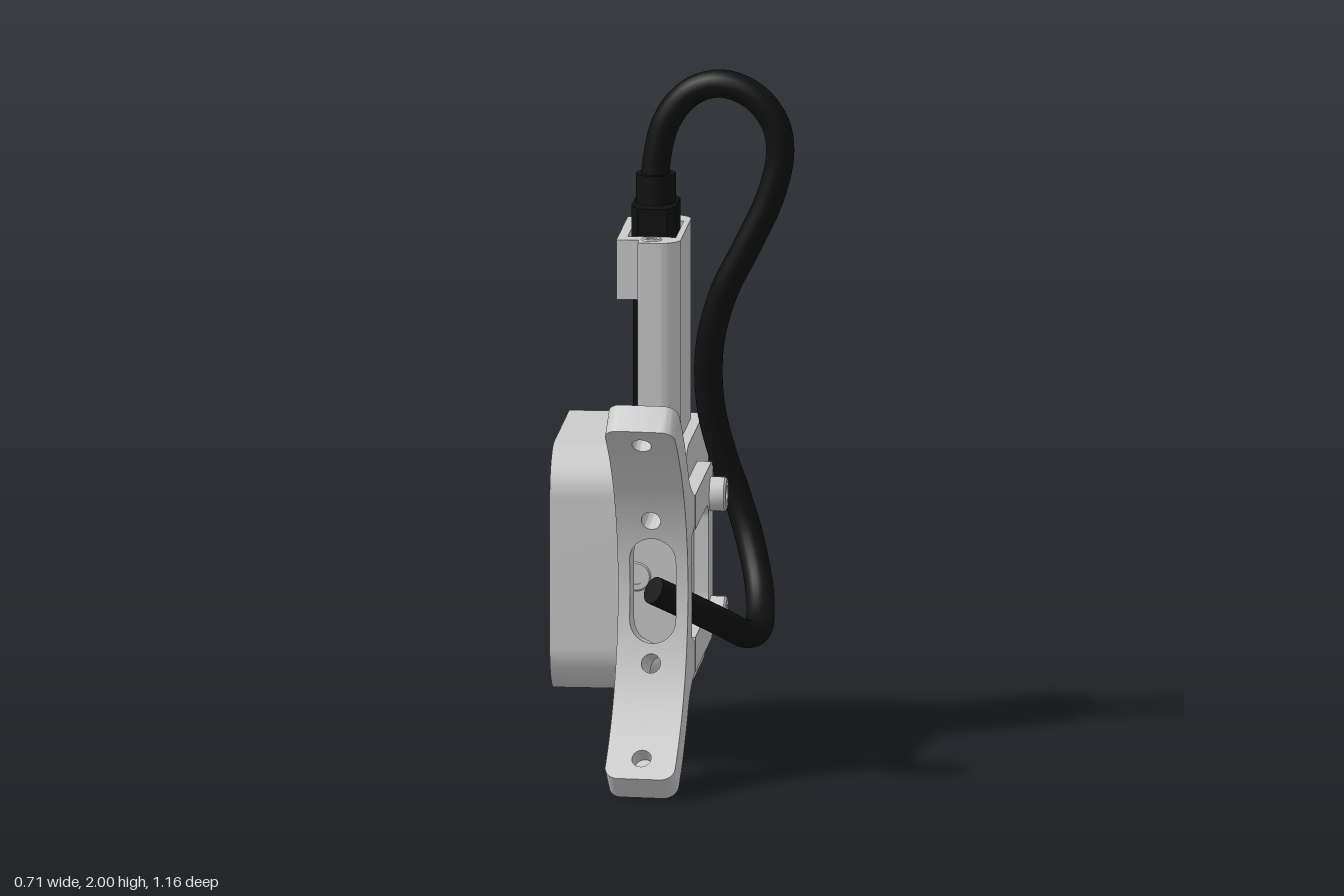
import * as THREE from 'three';
import { toCreasedNormals } from 'three/addons/utils/BufferGeometryUtils.js';

const grey = new THREE.MeshStandardMaterial({ color: 0xcccccc });
const black = new THREE.MeshStandardMaterial({ color: 0x111111 });

function add(parent, name, geometry, material = grey) {
  const mesh = new THREE.Mesh(geometry, material);
  mesh.name = name;
  parent.add(mesh);
  return mesh;
}

// Rectangle with rounded corners; drawn into a Shape or a Path
function roundRect(x0, y0, x1, y1, r, path = new THREE.Shape()) {
  path.moveTo(x0 + r, y0);
  path.lineTo(x1 - r, y0).absarc(x1 - r, y0 + r, r, -Math.PI / 2, 0);
  path.lineTo(x1, y1 - r).absarc(x1 - r, y1 - r, r, 0, Math.PI / 2);
  path.lineTo(x0 + r, y1).absarc(x0 + r, y1 - r, r, Math.PI / 2, Math.PI);
  path.lineTo(x0, y0 + r).absarc(x0 + r, y0 + r, r, Math.PI, Math.PI * 1.5);
  return path;
}
const polygon = (pts) => new THREE.Shape(pts.map(([x, y]) => new THREE.Vector2(x, y)));
const extrude = (shape, depth) =>
  new THREE.ExtrudeGeometry(shape, { depth, bevelEnabled: false, curveSegments: 12 });

// Side outline (z, y) extruded across x, and plan outline (x, z) extruded up y
const extrudeX = (shape, x0, x1) =>
  toCreasedNormals(extrude(shape, x1 - x0).rotateY(-Math.PI / 2).translate(x1, 0, 0), 0.5);
const extrudeY = (shape, y0, y1) =>
  toCreasedNormals(extrude(shape, y1 - y0).rotateX(Math.PI / 2).translate(0, y1, 0), 0.5);

// Socket-head screw pointing up y
function screw(r, h) {
  const pts = [[0, 0], [r, 0], [r, h - 0.006], [r - 0.006, h], [r * 0.5, h], [r * 0.5, h - 0.02], [0, h - 0.02]];
  return toCreasedNormals(new THREE.LatheGeometry(pts.map(([x, y]) => new THREE.Vector2(x, y)), 24), 0.5);
}

// Arc of the curved mount, seen from the side
const R = 0.679, ARC_Y = 0.58, ARC_Z = 0.824, TIP = 0.85, HALF = 0.1025;
const HOLES = [-0.744, -0.314, 0.314, 0.744], HOLE_R = 0.028;

// Back radius of the mount: thin bar, flaring into the two arms
function backRadius(a) {
  const t = Math.abs(a);
  if (t < 0.215) return (0.824 - 0.08 + 0.05 * Math.max(0, (t - 0.2) / 0.015)) / Math.cos(t);
  if (t < 0.31) return 0.794 / Math.cos(t);
  return 0.767 + 0.067 * Math.max(0, 1 - (t - 0.31) / 0.15) ** 2;
}
// Half width of the slot or screw hole at an angle
function gap(a) {
  const root = (r, d) => Math.sqrt(Math.max(0, r * r - d * d));
  const slot = root(0.0675, Math.max(0, Math.abs(a) * R - 0.0875));
  return Math.max(slot, ...HOLES.map((h) => root(HOLE_R, (a - h) * R)));
}
function halfWidth(a) {
  const c = 0.04, d = Math.max(0, c - (TIP - Math.abs(a)) * R);
  return HALF - c + Math.sqrt(c * c - d * d);
}

// Mount built as two mirrored lofts that meet around the slot and holes
function mountGeometry() {
  const angles = [];
  for (let i = 0; i <= 80; i++) angles.push(-TIP + (2 * TIP * i) / 80);
  for (const h of HOLES)
    for (let i = 0; i <= 14; i++) angles.push(h - (Math.cos((Math.PI * i) / 14) * HOLE_R) / R);
  for (const s of [-1, 1]) {
    angles.push(s * 0.2, s * 0.215, s * 0.31);
    for (let i = 0; i <= 10; i++) {
      angles.push((s * (0.0875 + 0.0675 * Math.sin((Math.PI * i) / 20))) / R);
      angles.push(s * (TIP - (0.04 / R) * (1 - Math.cos((Math.PI * i) / 20))));
    }
  }
  angles.sort((a, b) => a - b);
  const rowAngles = angles.filter((a, i) => i === 0 || a - angles[i - 1] > 1e-5);
  const pos = [];
  for (const side of [1, -1]) {
    const rows = rowAngles.map((a) => {
      const s = gap(a), w = halfWidth(a), b = backRadius(a);
      return [[s, R], [w, R], [w, b], [s, b]].map(([x, r]) =>
        [side * x, ARC_Y + r * Math.sin(a), ARC_Z - r * Math.cos(a)]);
    });
    const quad = (a, b, c, d) => {
      const tris = side > 0 ? [a, b, c, a, c, d] : [a, c, b, a, d, c];
      tris.forEach((p) => pos.push(...p));
    };
    for (let i = 0; i < rows.length - 1; i++)
      for (let j = 0; j < 4; j++) {
        const k = (j + 1) % 4;
        quad(rows[i][j], rows[i][k], rows[i + 1][k], rows[i + 1][j]);
      }
    quad(...rows[rows.length - 1]);
    quad(...[...rows[0]].reverse());
  }
  const geo = new THREE.BufferGeometry();
  geo.setAttribute('position', new THREE.Float32BufferAttribute(pos, 3));
  return toCreasedNormals(geo, 0.5);
}

export function createModel() {
  const model = new THREE.Group();
  model.name = 'mountedCamera';

  // Camera unit, turned slightly about the vertical
  const unit = new THREE.Group();
  unit.name = 'cameraUnit';
  unit.position.set(-0.4975, 0, -0.4125);
  unit.rotation.y = 0.09;
  model.add(unit);

  add(unit, 'body', extrudeX(roundRect(-0.36, 0.22, 0.36, 0.94, 0.14), -0.183, 0.195));
  const rim = roundRect(-0.36, 0.22, 0.36, 0.94, 0.14);
  rim.holes.push(roundRect(-0.34, 0.24, 0.34, 0.92, 0.12, new THREE.Path()));
  add(unit, 'windowRim', extrudeX(rim, -0.195, -0.183));
  const panel = roundRect(-0.34, 0.24, 0.34, 0.92, 0.12);
  for (const y of [0.42, 0.74])
    panel.holes.push(new THREE.Path().absarc(0, y, 0.06, 0, Math.PI * 2));
  add(unit, 'windowPanel', extrudeX(panel, -0.191, -0.18), black);
  for (const y of [0.42, 0.74]) {
    const lens = add(unit, 'lens', new THREE.CylinderGeometry(0.06, 0.06, 0.01, 32), black);
    lens.rotation.z = Math.PI / 2;
    lens.position.set(-0.182, y, 0);
  }
  const port = add(unit, 'frontPort', screw(0.045, 0.024));
  port.rotation.x = Math.PI / 2;
  port.position.set(0.055, 0.575, 0.34);

  // Connector housing: channel open on one side, bridged at the top
  const channel = new THREE.Shape();
  channel.moveTo(0.045, -0.21);
  channel.lineTo(0.105, -0.21).absarc(0.105, -0.15, 0.06, -Math.PI / 2, 0);
  channel.lineTo(0.165, 0.15).absarc(0.105, 0.15, 0.06, 0, Math.PI / 2);
  for (const [x, z] of [[0.045, 0.21], [0.045, 0.118], [0.147, 0.118], [0.147, -0.118], [0.045, -0.118]])
    channel.lineTo(x, z);
  add(unit, 'connectorHousing', extrudeY(channel, 0.93, 1.525));
  add(unit, 'housingBridge', extrudeY(polygon([[-0.02, -0.17], [0.046, -0.17], [0.046, -0.118], [0.008, -0.118],
    [0.008, 0.118], [0.046, 0.118], [0.046, 0.17], [-0.02, 0.17]]), 1.35, 1.525));
  for (const z of [-0.157, 0.157])
    add(unit, 'housingScrew', screw(0.033, 0.025)).position.set(0.08, 1.504, z);

  // Plug and strain relief
  const plug = polygon([[0.035, -0.113], [0.121, -0.113], [0.143, -0.06], [0.143, 0.06],
    [0.121, 0.113], [0.035, 0.113], [0.013, 0.06], [0.013, -0.06]]);
  add(unit, 'plug', extrudeY(plug, 1.36, 1.605), black);
  add(unit, 'plugStem', new THREE.BoxGeometry(0.12, 0.46, 0.228).translate(0.082, 1.15, 0), black);
  add(unit, 'strainRelief', new THREE.CylinderGeometry(0.058, 0.058, 0.1, 32).translate(0.078, 1.64, 0), black);

  // Flat bracket with two arms around a window
  const arms = new THREE.Shape();
  arms.moveTo(0.47, 0.32);
  arms.lineTo(-0.017, 0.32).absarc(-0.017, 0.37, 0.05, -Math.PI / 2, -Math.PI, true);
  arms.lineTo(-0.067, 0.79).absarc(-0.017, 0.79, 0.05, Math.PI, Math.PI / 2, true);
  arms.lineTo(0.47, 0.84).lineTo(0.47, 0.738);
  arms.lineTo(0.117, 0.738).absarc(0.117, 0.688, 0.05, Math.PI / 2, Math.PI);
  arms.lineTo(0.067, 0.472).absarc(0.117, 0.472, 0.05, Math.PI, Math.PI * 1.5);
  arms.lineTo(0.47, 0.422);
  add(unit, 'bracketArms', extrudeX(arms, 0.194, 0.237));
  for (const y of [0.4, 0.75]) {
    const s = add(unit, 'bracketScrew', screw(0.05, 0.05));
    s.rotation.z = -Math.PI / 2;
    s.position.set(0.234, y, 0.003);
  }

  // Curved mount with slot, holes and end screws
  const mount = new THREE.Group();
  mount.name = 'curvedMount';
  mount.position.x = -0.3225;
  model.add(mount);
  add(mount, 'mountBar', mountGeometry());
  for (const a of [-0.744, 0.744]) {
    const s = add(mount, 'mountScrew', screw(0.045, 0.035));
    s.rotation.x = a - Math.PI / 2;
    s.position.set(0, ARC_Y + 0.735 * Math.sin(a), ARC_Z - 0.735 * Math.cos(a));
  }

  // Cable looping from the plug round to the mount slot
  const path = new THREE.CatmullRomCurve3([
    [-0.42, 1.62, -0.415], [-0.418, 1.72, -0.415], [-0.385, 1.85, -0.415], [-0.315, 1.933, -0.415],
    [-0.225, 1.96, -0.415], [-0.13, 1.925, -0.415], [-0.07, 1.85, -0.415], [-0.055, 1.76, -0.415],
    [-0.085, 1.63, -0.415], [-0.155, 1.48, -0.42], [-0.225, 1.34, -0.435], [-0.27, 1.18, -0.463],
    [-0.275, 1, -0.5], [-0.245, 0.85, -0.527], [-0.205, 0.73, -0.535], [-0.16, 0.6, -0.51],
    [-0.118, 0.47, -0.43], [-0.097, 0.39, -0.3], [-0.112, 0.39, -0.2], [-0.16, 0.445, -0.08],
    [-0.24, 0.515, 0.04], [-0.325, 0.575, 0.125],
  ].map((p) => new THREE.Vector3(...p)));
  add(model, 'cable', new THREE.TubeGeometry(path, 160, 0.041, 20), black);
  const end = add(model, 'cableEnd', new THREE.CircleGeometry(0.041, 20), black);
  end.position.copy(path.getPoint(1));
  end.lookAt(path.getPoint(1).add(path.getTangent(1)));

  return model;
}
